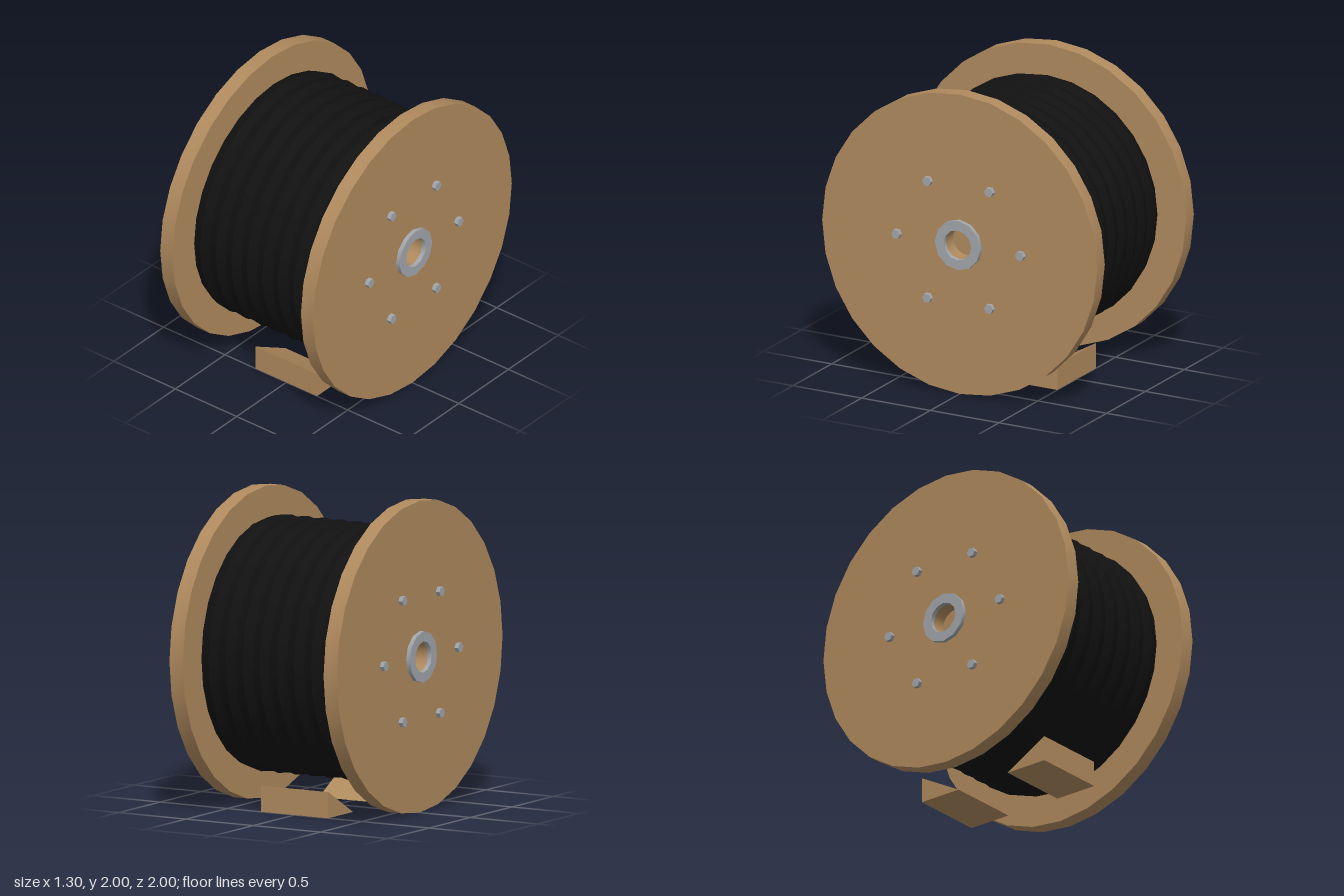
import * as THREE from 'three';
import { toCreasedNormals } from 'three/addons/utils/BufferGeometryUtils.js';

const wood = new THREE.MeshStandardMaterial({ color: 0xb08a5e });
wood.name = 'wood';
const steel = new THREE.MeshStandardMaterial({ color: 0xa2a6ab });
steel.name = 'steel';
const rubber = new THREE.MeshStandardMaterial({ color: 0x111111 });
rubber.name = 'blackCable';

// Turned part whose axis lies along x; profile holds [radius, x] pairs
function turned(profile, sides, crease = 0.7) {
  const points = profile.map(([r, x]) => new THREE.Vector2(r, x));
  const geometry = new THREE.LatheGeometry(points, sides).rotateZ(-Math.PI / 2);
  return toCreasedNormals(geometry, crease);
}

// Flat ring with a square section
function ring(inner, outer, width, sides) {
  const h = width / 2;
  return turned([[inner, -h], [outer, -h], [outer, h], [inner, h], [inner, -h]], sides);
}

export function createModel() {
  const model = new THREE.Group();
  model.name = 'cableDrum';

  function add(name, geometry, material, x = 0, y = 0, z = 0) {
    const mesh = new THREE.Mesh(geometry, material);
    mesh.name = name;
    mesh.position.set(x, y, z);
    model.add(mesh);
    return mesh;
  }

  // Core between the flanges
  add('core', turned([[0, -0.526], [0.45, -0.526], [0.45, 0.526], [0, 0.526]], 28), wood, 0, 1, 0);

  // Wound cable: eight ridges side by side, closed at the ends
  const turns = 8;
  const half = 0.508;
  const cable = [[0.44, -half]];
  for (let i = 0; i <= turns * 2; i++) {
    cable.push([i % 2 ? 0.82 : 0.8, -half + (i * half) / turns]);
  }
  cable.push([0.44, half]);
  add('cable', turned(cable, 28, 0.5), rubber, 0, 1, 0);

  // Flanges with hub rings and bolts on both sides
  const flange = ring(0.1, 1, 0.1, 28);
  const hub = ring(0.1, 0.165, 0.03, 12);
  const bolt = new THREE.CylinderGeometry(0.032, 0.032, 0.03, 6).rotateZ(-Math.PI / 2).toNonIndexed();
  bolt.computeVertexNormals();
  for (const side of [1, -1]) {
    const label = side > 0 ? 'left' : 'right';
    add(label + 'Flange', flange, wood, side * 0.573, 1, 0);
    add(label + 'HubRing', hub, steel, side * 0.636, 1, 0);
    for (let i = 0; i < 6; i++) {
      const a = (i * Math.PI) / 3;
      add(label + 'Bolt' + (i + 1), bolt, steel, side * 0.636, 1 + 0.45 * Math.sin(a), 0.45 * Math.cos(a));
    }
  }

  // Wedge chocks under the front and back
  const section = new THREE.Shape([
    new THREE.Vector2(0.2, 0), new THREE.Vector2(0.5, 0), new THREE.Vector2(0.5, 0.168),
  ]);
  const chock = new THREE.ExtrudeGeometry(section, { depth: 0.5, bevelEnabled: false });
  chock.translate(0, 0, -0.25).rotateY(-Math.PI / 2);
  add('frontChock', chock, wood);
  add('backChock', chock, wood).rotation.y = Math.PI;

  return model;
}
